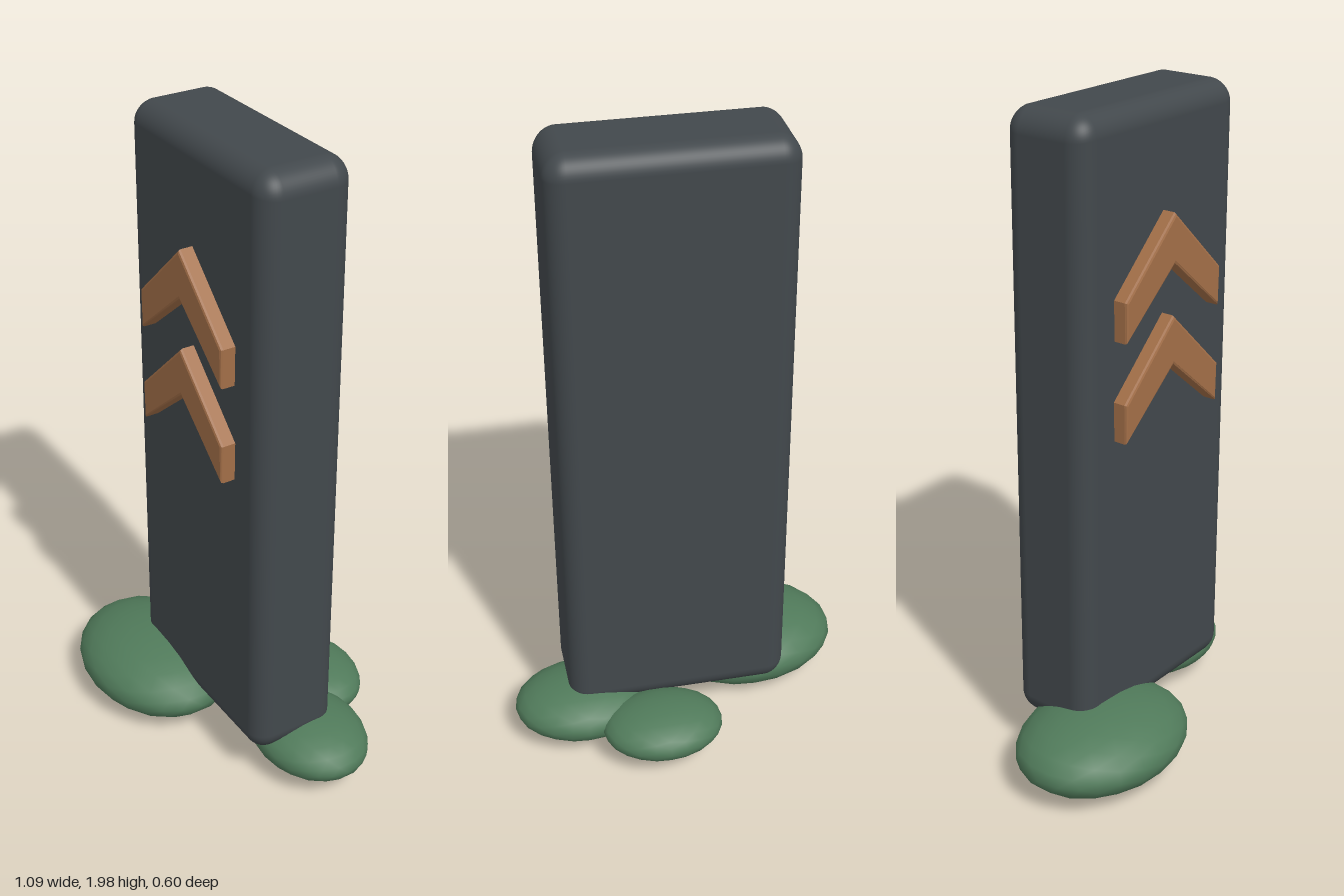
import * as THREE from 'three';
import { RoundedBoxGeometry } from 'three/addons/geometries/RoundedBoxGeometry.js';

const TURN = -0.43;

function material(name, color) {
  const m = new THREE.MeshStandardMaterial({ color });
  m.name = name;
  return m;
}

// Upright slab with softly domed ends
function slabGeometry(w, h, d) {
  const dome = 0.025;
  const g = new RoundedBoxGeometry(w, h - 2 * dome, d, 6, 0.06);
  const p = g.attributes.position;
  for (let i = 0; i < p.count; i++) {
    const x = p.getX(i), y = p.getY(i), z = p.getZ(i);
    const t = Math.abs(y) / (h / 2);
    const rise = dome * (1 - (2 * x / w) ** 4) * (1 - 0.5 * (2 * z / d) ** 2);
    const taper = 1 - 0.015 * t ** 4;
    p.setXYZ(i, x * taper, y + Math.sign(y) * rise, z * taper);
  }
  return g;
}

// Upward chevron, apex at y = 0
function chevronGeometry() {
  const b = 0.008, w = 0.213 - b;
  const s = new THREE.Shape([
    [0, -b], [w, -0.195 - b], [w, -0.315 + b], [0, -0.14 + b], [-w, -0.315 + b], [-w, -0.195 - b],
  ].map(([x, y]) => new THREE.Vector2(x, y)));
  return new THREE.ExtrudeGeometry(s, {
    depth: 0.052, bevelEnabled: true, bevelSize: b, bevelThickness: b, bevelSegments: 2,
  });
}

export function createModel() {
  const model = new THREE.Group();
  model.name = 'signStone';
  const stone = material('slate grey', 0x42484c);
  const copper = material('copper', 0xa36f48);
  const leaf = material('leaf green', 0x507a5a);

  const add = (parent, name, geo, mat, x, y, z) => {
    const mesh = new THREE.Mesh(geo, mat);
    mesh.name = name;
    mesh.position.set(x, y, z);
    parent.add(mesh);
    return mesh;
  };

  // Turned sign: slab and two arrows
  const sign = new THREE.Group();
  sign.name = 'sign';
  sign.position.set(0.036, 0, 0.036);
  sign.rotation.y = TURN;
  model.add(sign);
  add(sign, 'slab', slabGeometry(0.69, 1.875, 0.28), stone, 0, 1.0625, 0);
  const chevron = chevronGeometry();
  add(sign, 'upperChevron', chevron, copper, 0, 1.675, 0.123);
  add(sign, 'lowerChevron', chevron, copper, 0, 1.38, 0.123);

  // Flattened shrubs around the foot
  const ball = new THREE.IcosahedronGeometry(1, 3);
  const shrubs = [
    ['rightShrub', -0.265, 0.122, 0.053, 0.295, 0.113, 0.23],
    ['leftShrub', 0.338, 0.12, 0.095, 0.212, 0.085, 0.166],
    ['backShrub', 0.2, 0.122, -0.147, 0.186, 0.072, 0.145],
  ];
  for (const [name, x, y, z, a, h, b] of shrubs) {
    const shrub = add(model, name, ball, leaf, x, y, z);
    shrub.scale.set(a, h, b);
    shrub.rotation.y = TURN;
  }
  return model;
}
